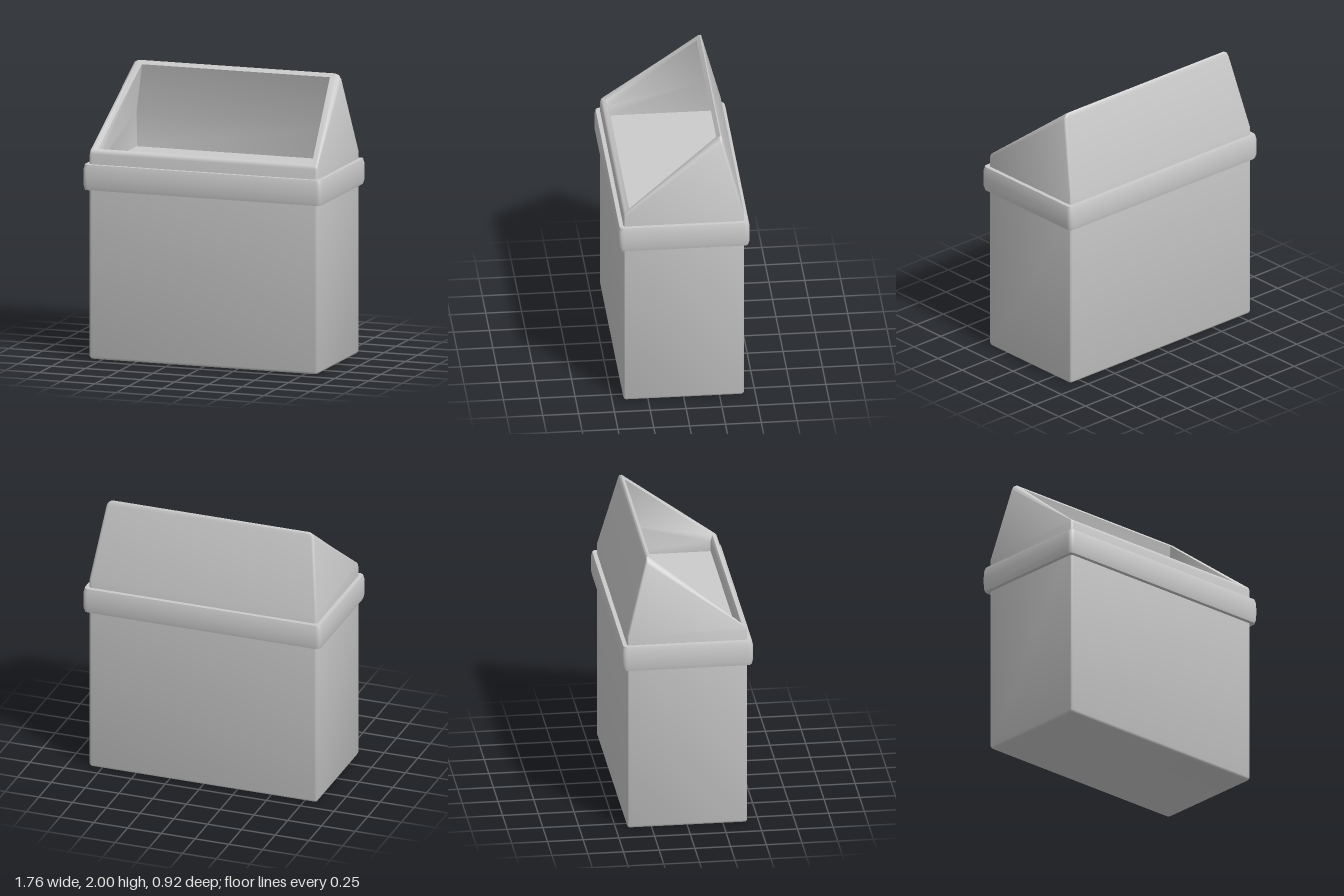
import * as THREE from 'three';
import { toCreasedNormals } from 'three/addons/utils/BufferGeometryUtils.js';

const STEPS = 4;

// Rounded trapezoid outline: front and back edges each have a half width, height and depth.
function outline([xF, yF, zF], [xB, yB, zB], r) {
  const corners = [[xF, yF, zF], [xB, yB, zB], [-xB, yB, zB], [-xF, yF, zF]]
    .map((c) => new THREE.Vector3(...c));
  const points = [];
  corners.forEach((c, i) => {
    const towards = (o) => c.clone().add(o.clone().sub(c).setLength(r));
    const curve = new THREE.QuadraticBezierCurve3(
      towards(corners[(i + 3) % 4]), c, towards(corners[(i + 1) % 4]));
    points.push(...curve.getPoints(STEPS));
  });
  return points;
}

// Level rectangle with rounded corners.
const level = (x, y, z, r) => outline([x, y, z], [x, y, -z], r);

// Skin joining successive outlines, with optional flat ends.
function loft(name, loops, { capStart = false, capEnd = false } = {}) {
  const n = loops[0].length;
  const index = [];
  for (let k = 0; k < loops.length - 1; k++) {
    for (let i = 0; i < n; i++) {
      const j = (i + 1) % n;
      const a = k * n + i, b = k * n + j;
      index.push(a, b, b + n, a, b + n, a + n);
    }
  }
  const last = (loops.length - 1) * n;
  for (let i = 1; i < n - 1; i++) {
    if (capStart) index.push(0, i + 1, i);
    if (capEnd) index.push(last, last + i, last + i + 1);
  }
  const geometry = new THREE.BufferGeometry().setFromPoints(loops.flat());
  geometry.setIndex(index);
  const mesh = new THREE.Mesh(
    toCreasedNormals(geometry, 0.75),
    new THREE.MeshStandardMaterial({ color: 0xcccccc }));
  mesh.name = name;
  return mesh;
}

export function createModel() {
  const bin = new THREE.Group();
  bin.name = 'bin';

  // Container with softened bottom edges
  bin.add(loft('container', [
    level(0.825, 0, 0.402, 0.02),
    level(0.838, 0.006, 0.415, 0.02),
    level(0.844, 0.02, 0.421, 0.02),
    level(0.844, 1.28, 0.421, 0.02),
  ], { capStart: true }));

  // Band around the joint
  const band = [[0, 1.2], [0.03, 1.2], [0.037, 1.23], [0.038, 1.29],
    [0.037, 1.35], [0.03, 1.38], [-0.005, 1.38]];
  bin.add(loft('band', band.map(([d, y]) => level(0.843 + d, y, 0.42 + d, 0.035))));

  // Hood: outer walls, rounded sloping rim, then the recess behind the opening
  bin.add(loft('hood', [
    level(0.844, 1.28, 0.421, 0.02),
    outline([0.844, 1.45, 0.421], [0.844, 1.44, -0.421], 0.02),
    outline([0.84, 1.466, 0.418], [0.768, 1.965, -0.282], 0.02),
    outline([0.834, 1.475, 0.411], [0.757, 1.99, -0.276], 0.02),
    outline([0.82, 1.48, 0.402], [0.738, 2, -0.265], 0.02),
    outline([0.79, 1.484, 0.385], [0.695, 1.975, -0.24], 0.005),
    outline([0.772, 1.45, 0.37], [0.772, 1.62, -0.34], 0.005),
    outline([0.772, 1.37, 0.37], [0.772, 1.37, -0.35], 0.005),
  ], { capEnd: true }));

  return bin;
}
